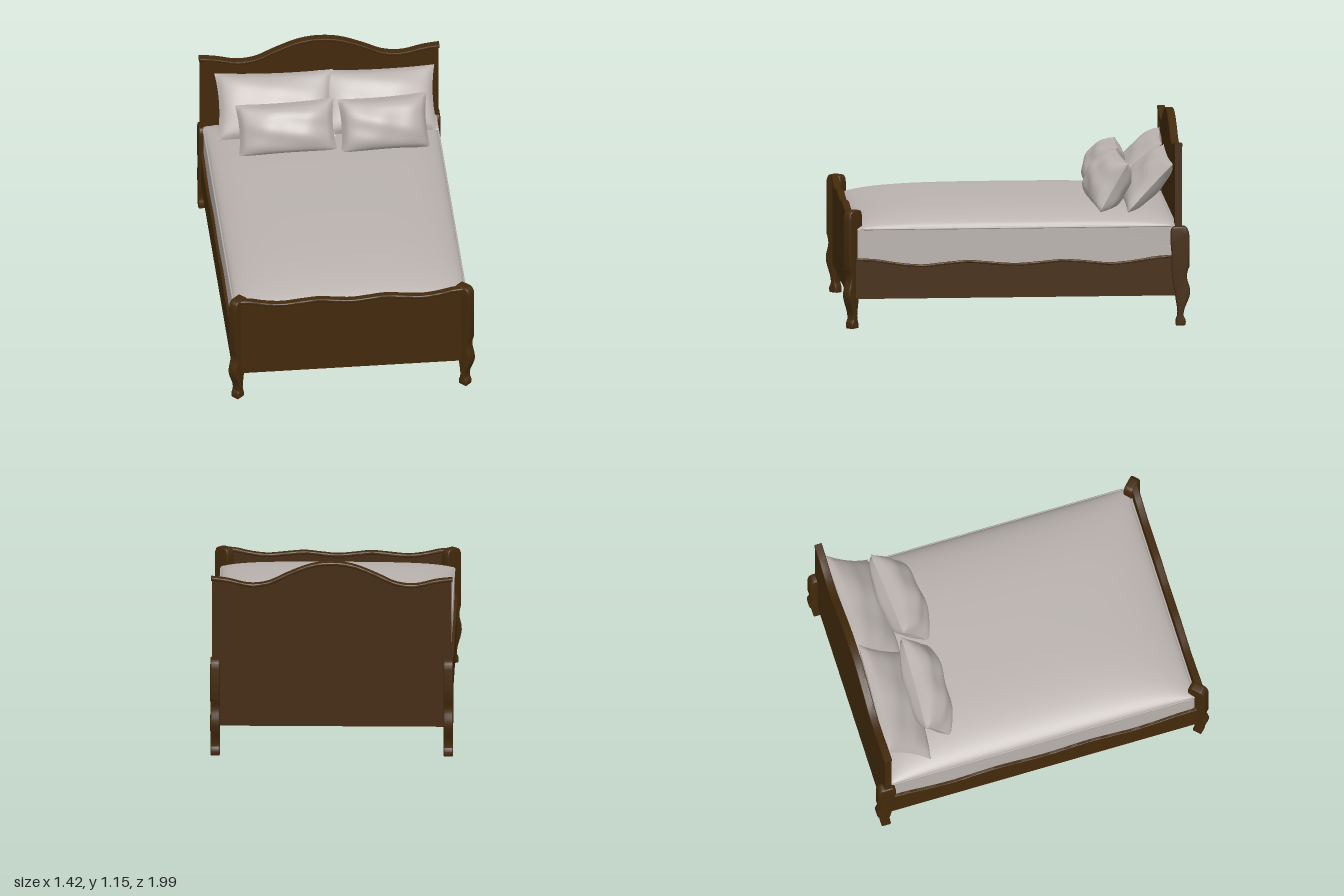
import * as THREE from 'three';
import { toCreasedNormals, mergeGeometries } from 'three/addons/utils/BufferGeometryUtils.js';

const wood = new THREE.MeshStandardMaterial({ color: 0x432a0c });
wood.name = 'dark wood';
const linen = new THREE.MeshStandardMaterial({ color: 0xb9b2ae });
linen.name = 'pale linen';

const BOTTOM = 0.173; // lower edge of all boards
const V = (x, y) => new THREE.Vector2(x, y);

function add(parent, name, geometry, material) {
  const mesh = new THREE.Mesh(geometry, material);
  mesh.name = name;
  parent.add(mesh);
  return mesh;
}

// Smooth symmetric curve from left to right; half runs from the centre outwards
function wave(half, drop = 0) {
  const right = half.map(([x, y]) => V(x, y - drop));
  const left = right.slice(1).reverse().map(p => V(-p.x, p.y));
  return new THREE.SplineCurve([...left, ...right]).getPoints(60);
}

// Board with a wavy top edge and a flat bottom
function boardShape(half, bottom) {
  const top = wave(half);
  const end = top[top.length - 1].x;
  return new THREE.Shape([V(-end, bottom), V(end, bottom), ...top.reverse()]);
}

// Strip that follows a wavy top edge
function stripShape(half, height) {
  return new THREE.Shape([...wave(half, height), ...wave(half).reverse()]);
}

// Extrude between two depths, with an optional rounded edge
function slab(shape, z0, z1, bevel = 0) {
  const g = new THREE.ExtrudeGeometry(shape, {
    depth: z1 - z0 - 2 * bevel, curveSegments: 10, bevelEnabled: bevel > 0,
    bevelSize: bevel, bevelThickness: bevel, bevelOffset: -bevel, bevelSegments: 3,
  });
  g.translate(0, 0, z0 + bevel);
  return toCreasedNormals(g, 0.6);
}

// Curved leg with a block above it, outward side on +x
function postGeometry(top, thick) {
  const s = new THREE.Shape();
  s.moveTo(-0.026, 0);
  s.lineTo(0.026, 0);
  s.quadraticCurveTo(0.036, 0.03, 0.018, 0.05);
  s.bezierCurveTo(0.01, 0.1, 0.05, 0.14, 0.055, 0.19);
  s.bezierCurveTo(0.055, 0.24, 0.036, 0.25, 0.036, 0.29);
  s.quadraticCurveTo(0.04, 0.32, 0.05, 0.34);
  s.lineTo(0.05, top - 0.05);
  s.quadraticCurveTo(0.046, top, 0.015, top);
  s.lineTo(-0.03, top);
  s.quadraticCurveTo(-0.058, top, -0.058, top - 0.05);
  s.lineTo(-0.058, top - 0.09);
  s.quadraticCurveTo(-0.05, top - 0.13, -0.052, 0.36);
  s.bezierCurveTo(-0.052, 0.25, -0.036, 0.22, -0.03, 0.18);
  s.bezierCurveTo(-0.024, 0.12, -0.012, 0.09, -0.018, 0.05);
  s.quadraticCurveTo(-0.03, 0.03, -0.026, 0);
  return slab(s, -thick / 2, thick / 2, 0.007);
}

// Stuffed cushion with pinched corners and soft creases
function pillowGeometry(w, h, t, seed) {
  const side = sign => {
    const g = new THREE.PlaneGeometry(2, 2, 30, 22);
    const p = g.attributes.position;
    for (let i = 0; i < p.count; i++) {
      const u = p.getX(i), v = p.getY(i);
      const puff = Math.sqrt(Math.max(0, (1 - Math.abs(u) ** 2.6) * (1 - Math.abs(v) ** 2.4)));
      const crease = 0.08 * Math.sin(5 * u + 3 * v + seed) * Math.sin(4 * v - 2 * u + 2 * seed);
      p.setXYZ(i,
        sign * w / 2 * u * (1 - 0.06 * (1 - v * v)),
        h / 2 * v * (1 - 0.06 * (1 - u * u)),
        sign * t / 2 * puff * (1 + crease));
    }
    g.computeVertexNormals();
    return g;
  };
  return mergeGeometries([side(1), side(-1)]);
}

function buildHeadboard() {
  const group = new THREE.Group();
  group.name = 'headboard';
  const edge = [[0, 1.15], [0.12, 1.135], [0.25, 1.085], [0.35, 1.037], [0.43, 1.02],
    [0.5, 1.023], [0.6, 1.047], [0.686, 1.057]];
  const capEdge = [...edge.slice(0, -1), [0.692, 1.057]];
  const outerInset = [[0, 1.095], [0.12, 1.08], [0.25, 1.03], [0.35, 0.985], [0.45, 0.965], [0.607, 0.98]];
  const innerInset = [[0, 1.04], [0.12, 1.028], [0.25, 0.98], [0.35, 0.935], [0.45, 0.915], [0.57, 0.925]];

  add(group, 'headboardPanel', slab(boardShape(edge, BOTTOM), -0.95, -0.927), wood);
  const frame = boardShape(edge, BOTTOM);
  frame.holes.push(boardShape(outerInset, 0.3));
  add(group, 'headboardFrame', slab(frame, -0.93, -0.912), wood);
  const step = boardShape(outerInset, 0.3);
  step.holes.push(boardShape(innerInset, 0.34));
  add(group, 'headboardInnerFrame', slab(step, -0.93, -0.918), wood);
  add(group, 'headboardCap', slab(stripShape(capEdge, 0.02), -0.954, -0.908, 0.006), wood);
  return group;
}

function buildFootboard() {
  const group = new THREE.Group();
  group.name = 'footboard';
  const edge = [[0, 0.645], [0.1, 0.654], [0.19, 0.663], [0.29, 0.655], [0.4, 0.645],
    [0.5, 0.656], [0.58, 0.674], [0.65, 0.68]];
  add(group, 'footboardPanel', slab(boardShape(edge, BOTTOM), 0.93, 0.96), wood);
  add(group, 'footboardCap', slab(stripShape(edge, 0.02), 0.925, 0.966, 0.006), wood);
  return group;
}

function buildMattress() {
  const group = new THREE.Group();
  group.name = 'mattress';
  const W = 0.668, L = 0.918, r = 0.025;
  const s = new THREE.Shape();
  s.moveTo(-W + r, -L);
  s.lineTo(W - r, -L);
  s.quadraticCurveTo(W, -L, W, -L + r);
  s.lineTo(W, L - r);
  s.quadraticCurveTo(W, L, W - r, L);
  s.lineTo(-W + r, L);
  s.quadraticCurveTo(-W, L, -W, L - r);
  s.lineTo(-W, -L + r);
  s.quadraticCurveTo(-W, -L, -W + r, -L);
  const body = slab(s, 0.275, 0.575);
  body.rotateX(-Math.PI / 2);
  add(group, 'mattressBody', body, linen);

  // Piping around the upper edge
  const path = new THREE.CatmullRomCurve3(
    s.getSpacedPoints(120).slice(0, -1).map(p => new THREE.Vector3(p.x, 0.575, p.y)), true);
  add(group, 'mattressPiping', new THREE.TubeGeometry(path, 160, 0.006, 6, true), linen);

  // Softly domed top
  const top = new THREE.PlaneGeometry(2, 2, 40, 48);
  top.rotateX(-Math.PI / 2);
  const p = top.attributes.position;
  for (let i = 0; i < p.count; i++) {
    // crowd the rows towards the rim so that the rounded edge stays smooth
    const u = Math.sin(p.getX(i) * Math.PI / 2), v = Math.sin(p.getZ(i) * Math.PI / 2);
    const rim = Math.sqrt(Math.max(0, (1 - Math.abs(u) ** 7) * (1 - Math.abs(v) ** 7)));
    const crown = (1 - Math.abs(u) ** 3) * (1 - Math.abs(v) ** 3);
    p.setXYZ(i, u * (W - 0.002), 0.575 + 0.06 * rim + 0.05 * crown, v * (L - 0.002));
  }
  top.computeVertexNormals();
  add(group, 'mattressTop', top, linen);
  return group;
}

export function createModel() {
  const bed = new THREE.Group();
  bed.name = 'bed';
  bed.add(buildHeadboard(), buildFootboard(), buildMattress());

  // Side rails with a wavy upper edge
  const railEdge = [[0, 0.37], [0.14, 0.379], [0.27, 0.39], [0.41, 0.38], [0.54, 0.368],
    [0.68, 0.38], [0.8, 0.4], [0.92, 0.408]];
  const rail = slab(boardShape(railEdge, BOTTOM), -0.015, 0.015);
  const railCap = slab(stripShape(railEdge, 0.014), -0.018, 0.018, 0.004);
  const frontPost = postGeometry(0.684, 0.054);
  const rearPost = postGeometry(0.572, 0.055);
  for (const side of [-1, 1]) {
    const label = side > 0 ? 'left' : 'right';
    for (const [name, geo] of [['SideRail', rail], ['RailCap', railCap]]) {
      const m = add(bed, label + name, geo, wood);
      m.rotation.y = Math.PI / 2;
      m.position.x = side * 0.667;
    }
    // Front posts stand diagonally, rear posts face straight back
    const front = add(bed, label + 'FrontPost', frontPost, wood);
    front.position.set(side * 0.654, 0, 0.94);
    front.rotation.y = side > 0 ? -Math.PI / 4 : -3 * Math.PI / 4;
    const rear = add(bed, label + 'RearPost', rearPost, wood);
    rear.position.set(side * 0.668, 0, -0.943);
    rear.rotation.y = Math.PI / 2;
  }

  // Pillows: width, height, thickness, position, lean, turn, roll
  const pillows = [
    ['rightBackPillow', 0.68, 0.39, 0.16, [-0.27, 0.808, -0.765], 0.75, -0.07, 0.02],
    ['leftBackPillow', 0.67, 0.38, 0.16, [0.325, 0.797, -0.77], 0.75, 0.02, -0.02],
    ['rightFrontPillow', 0.57, 0.31, 0.22, [-0.225, 0.785, -0.565], 0.5, -0.07, 0.06],
    ['leftFrontPillow', 0.52, 0.32, 0.24, [0.335, 0.79, -0.55], 0.52, 0.08, -0.02],
  ];
  pillows.forEach(([name, w, h, t, pos, lean, turn, roll], i) => {
    const m = add(bed, name, pillowGeometry(w, h, t, i * 1.7), linen);
    m.position.set(...pos);
    m.rotation.set(-lean, turn, roll, 'YXZ');
  });
  return bed;
}
